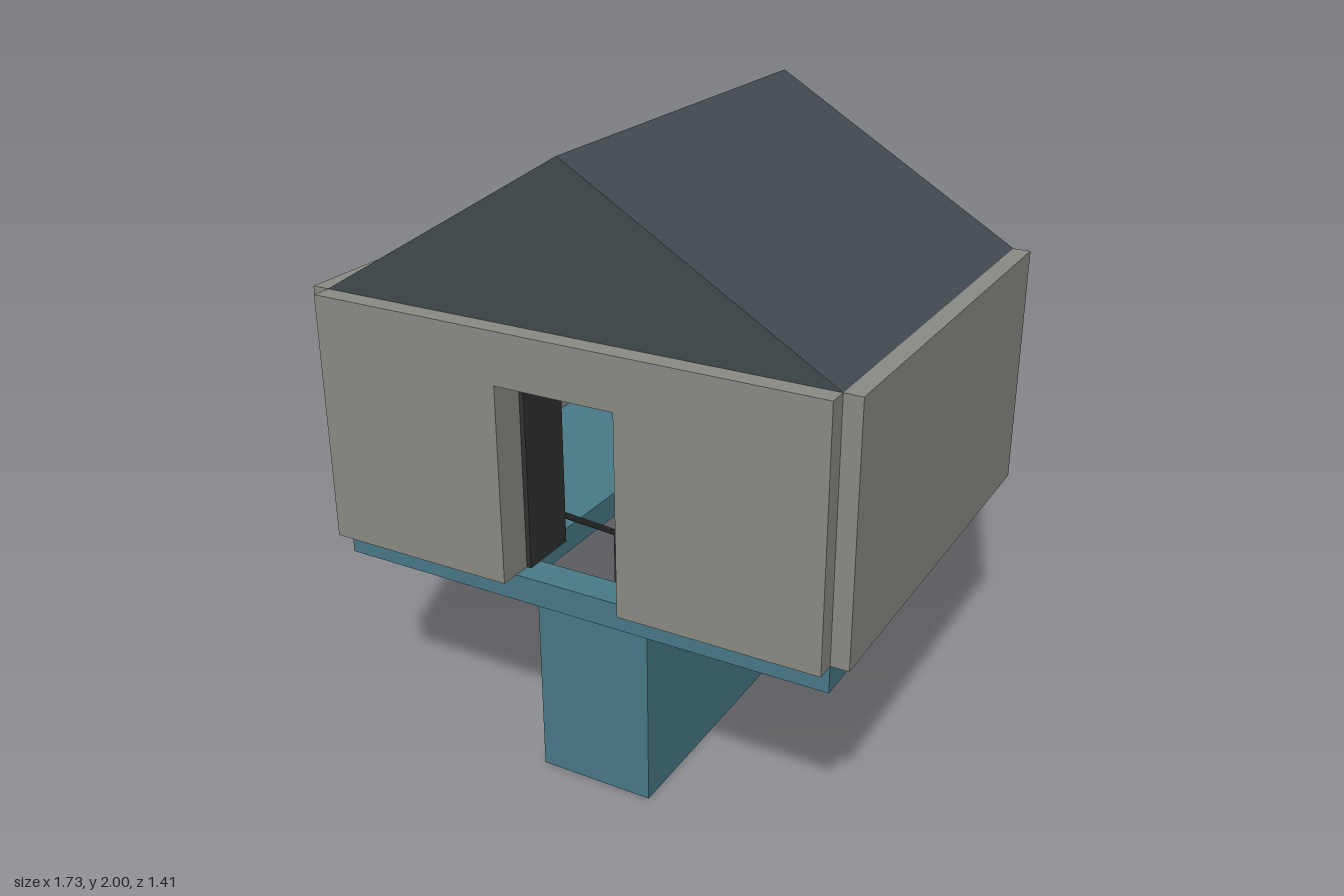
import * as THREE from 'three';

const mat = (color) => new THREE.MeshStandardMaterial({ color });
const WALL = mat(0x8a8c84), TEAL = mat(0x4a7a88), ROOF = mat(0x434b50), DARK = mat(0x303232);

export function createModel() {
  const root = new THREE.Group();

  const add = (name, geometry, material) => {
    const mesh = new THREE.Mesh(geometry, material);
    mesh.name = name;
    root.add(mesh);
    return mesh;
  };
  // Box given by its limits on each axis
  const box = (name, material, [x0, x1], [y0, y1], [z0, z1]) =>
    add(name, new THREE.BoxGeometry(x1 - x0, y1 - y0, z1 - z0), material)
      .position.set((x0 + x1) / 2, (y0 + y1) / 2, (z0 + z1) / 2);
  // Extrude an outline of points along its normal
  const extrude = (points, depth) => new THREE.ExtrudeGeometry(
    new THREE.Shape(points.map(([a, b]) => new THREE.Vector2(a, b))),
    { depth, bevelEnabled: false });

  const back = -0.705, edge = 0.645, half = 0.81;
  const under = 0.65, floorY = 0.735, eaves = 1.515;

  // Floor slab with a stairwell open to the back (outline in x, -z)
  const well = 0.22, wellFront = 0.54;
  add('floor', extrude([
    [-half, -edge], [half, -edge], [half, -back], [well, -back],
    [well, -wellFront], [-well, -wellFront], [-well, -back], [-half, -back],
  ], floorY - under).rotateX(-Math.PI / 2).translate(0, under, 0), TEAL);

  // Gable roof, solid
  add('roof', extrude([[-half, eaves], [half, eaves], [0, 2]], edge - back)
    .translate(0, 0, back), ROOF);

  // Front wall with doorway
  const door = 0.19, doorTop = 1.355;
  add('frontWall', extrude([
    [-half, floorY], [-door, floorY], [-door, doorTop], [door, doorTop],
    [door, floorY], [half, floorY], [half, eaves], [-half, eaves],
  ], 0.115).translate(0, 0, 0.59), WALL);

  // Stepped solid stair, rising towards the front (outline in -z, y)
  const steps = 14, run = 0.97 / steps, rise = under / steps, foot = -0.43;
  const outline = [[-wellFront, 0], [-foot, 0]];
  for (let i = 0; i < steps; i++) {
    outline.push([-(foot + i * run), (i + 1) * rise], [-(foot + (i + 1) * run), (i + 1) * rise]);
  }
  add('stairs', extrude(outline, 0.38).rotateY(Math.PI / 2).translate(-0.19, 0, 0), TEAL);
  box('landing', TEAL, [-0.24, 0.24], [0, 0.07], [back, foot]);

  const span = (s, a, b) => (s > 0 ? [a, b] : [-b, -a]);
  for (const s of [1, -1]) {
    // Side wall, inner pier and open door leaf
    box('sideWall', WALL, span(s, 0.755, 0.865), [floorY, eaves], [back, edge]);
    box('pier', WALL, span(s, 0.53, 0.63), [floorY, eaves], [0.49, 0.59]);
    box('doorLeaf', DARK, span(s, 0.175, 0.19), [floorY, doorTop], [0.4, 0.59]);

    // Handrail with three posts
    const railX = span(s, 0.195, 0.213), slope = rise / run, railY = 0.27;
    for (const [z, y] of [[foot, 0], [0.055, 0.325], [0.53, under]]) {
      box('railPost', DARK, railX, [y, railY + (z - foot) * slope], [z - 0.008, z + 0.008]);
    }
    const length = (0.54 - foot) * Math.hypot(1, slope);
    const rail = add('handrail', new THREE.BoxGeometry(0.018, 0.018, length), DARK);
    rail.position.set(s * 0.204, railY + (0.54 - foot) * slope / 2, (0.54 + foot) / 2);
    rail.rotation.x = -Math.atan(slope);
  }

  return root;
}
